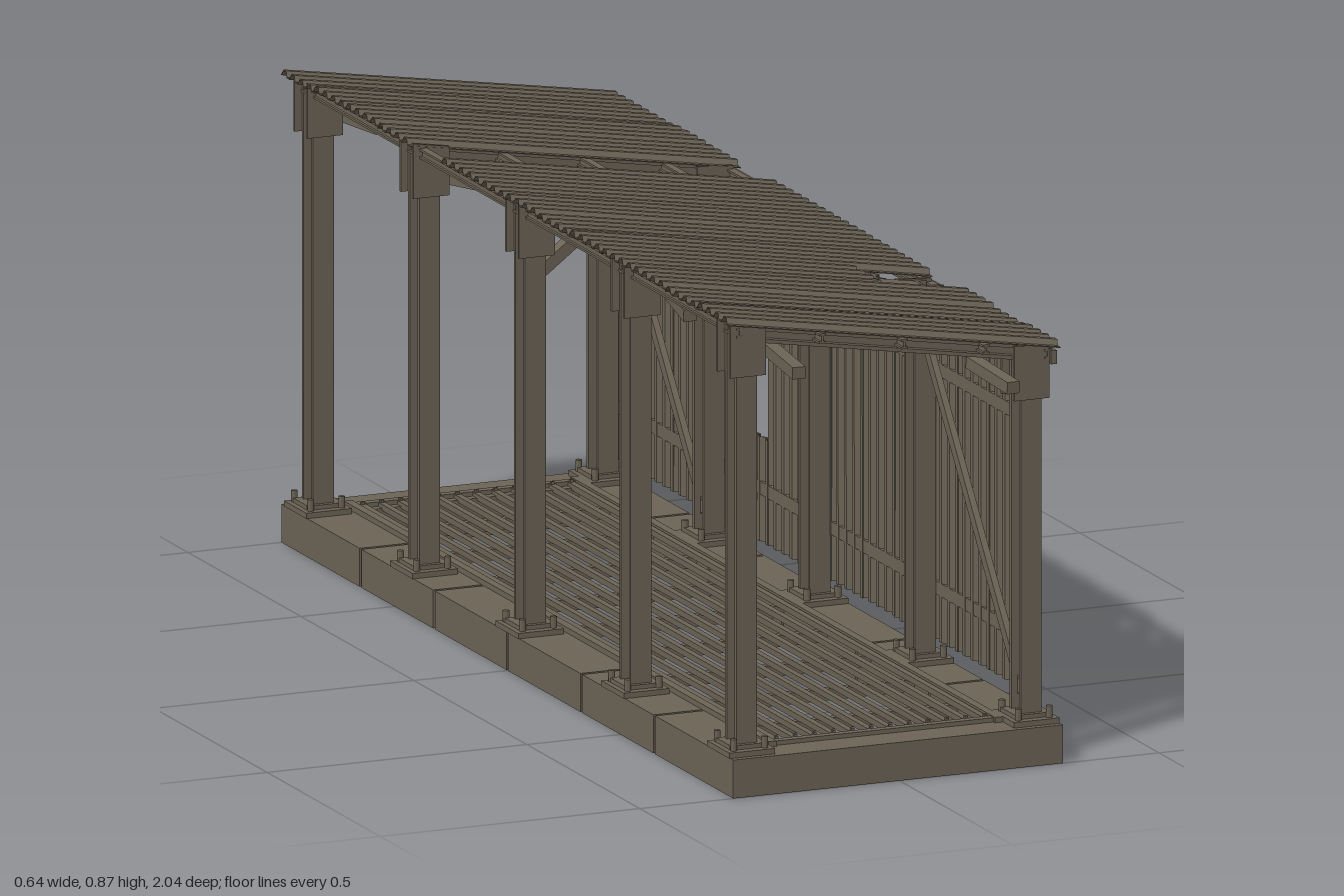
import * as THREE from 'three';

const steel = new THREE.MeshStandardMaterial({ color: 0x6b6355 });
steel.name = 'weathered taupe';
const SLOPE = 0.165, TILT = -Math.atan(SLOPE);
const roofY = x => 0.812 - SLOPE * x;
const bays = [-0.935, -0.465, 0.003, 0.47, 0.938];

// small seeded generator for slightly uneven sheets
let seed = 7;
const jitter = a => {
  seed = (seed * 16807) % 2147483647;
  return (seed / 2147483647 - 0.5) * 2 * a;
};

function add(parent, name, geometry, x = 0, y = 0, z = 0) {
  const m = new THREE.Mesh(geometry, steel);
  m.name = name;
  m.position.set(x, y, z);
  parent.add(m);
  return m;
}

// box given by its limits
function block(parent, name, x0, x1, y0, y1, z0, z1) {
  return add(parent, name, new THREE.BoxGeometry(x1 - x0, y1 - y0, z1 - z0),
    (x0 + x1) / 2, (y0 + y1) / 2, (z0 + z1) / 2);
}

// I-section along local z: flanges at +-y
function iBeam(w, h, t, length) {
  const a = w / 2, b = h / 2, c = t / 2;
  const s = new THREE.Shape([
    [-a, -b], [a, -b], [a, -b + t], [c, -b + t], [c, b - t], [a, b - t],
    [a, b], [-a, b], [-a, b - t], [-c, b - t], [-c, -b + t], [-a, -b + t],
  ].map(p => new THREE.Vector2(...p)));
  return new THREE.ExtrudeGeometry(s, { depth: length, bevelEnabled: false }).translate(0, 0, -length / 2);
}

// corrugated sheet: ribs along y, width along z, waves in x
function sheet(width, length, amp, waves = 4) {
  const p = width / waves, t = 0.002, line = [];
  for (let i = 0; i < waves; i++)
    for (const [f, h] of [[0, -1], [0.3, -1], [0.5, 1], [0.8, 1]])
      line.push([h * amp, (i + f) * p - width / 2]);
  line.push([-amp, width / 2]);
  const pts = [...line.map(([h, u]) => new THREE.Vector2(h + t / 2, u)),
    ...line.slice().reverse().map(([h, u]) => new THREE.Vector2(h - t / 2, u))];
  return new THREE.ExtrudeGeometry(new THREE.Shape(pts), { depth: length, bevelEnabled: false })
    .translate(0, 0, -length / 2).rotateX(-Math.PI / 2);
}

// square bar between two points
function strut(parent, name, a, b, w, d) {
  const p = new THREE.Vector3(...a), q = new THREE.Vector3(...b);
  const m = add(parent, name, new THREE.BoxGeometry(w, d, p.distanceTo(q)));
  m.position.copy(p).add(q).multiplyScalar(0.5);
  m.lookAt(q);
  return m;
}

function foundation(root) {
  const g = new THREE.Group();
  g.name = 'foundation';
  // long sides in six blocks with narrow joints
  const cuts = [-1, -0.65, -0.325, 0, 0.327, 0.65, 1];
  for (let i = 0; i < 6; i++) {
    const z0 = cuts[i] + (i ? 0.004 : 0.1), z1 = cuts[i + 1] - (i < 5 ? 0.004 : 0.1);
    block(g, 'sideBlock', -0.32, -0.215, 0, 0.07, z0, z1);
    block(g, 'sideBlock', 0.21, 0.315, 0, 0.07, z0, z1);
  }
  for (const s of [-1, 1])
    block(g, 'endBlock', -0.32, 0.315, 0, 0.07, s * 0.95 - 0.05, s * 0.95 + 0.05);
  root.add(g);
}

function floor(root) {
  const g = new THREE.Group();
  g.name = 'floorGrating';
  for (let i = 0; i < 12; i++) {
    const x = -0.2 + i * 0.0365;
    block(g, 'slat', x - 0.006, x + 0.006, 0.066, 0.077, -0.92, 0.92);
    for (const z of [-0.915, 0.915]) block(g, 'bolt', x - 0.003, x + 0.003, 0.077, 0.082, z - 0.003, z + 0.003);
  }
  for (let i = -4; i <= 4; i++)
    block(g, 'crossBar', -0.22, 0.215, 0.045, 0.066, i * 0.1925 - 0.007, i * 0.1925 + 0.007);
  for (const s of [-1, 1]) {
    block(g, 'sideRail', s * 0.218 - 0.008, s * 0.218 + 0.008, 0.066, 0.08, -0.94, 0.94);
    block(g, 'endRail', -0.215, 0.215, 0.066, 0.078, s * 0.925 - 0.008, s * 0.925 + 0.008);
  }
  root.add(g);
}

function frame(root, z) {
  const g = new THREE.Group();
  g.name = 'portalFrame';
  g.position.z = z;
  for (const [x, top, gx0, gx1, gy0, gy1] of [
    [-0.278, 0.845, -0.312, -0.243, 0.757, 0.861],
    [0.27, 0.755, 0.235, 0.303, 0.66, 0.76]]) {
    const h = top - 0.08;
    add(g, 'post', iBeam(0.04, 0.05, 0.008, h).rotateX(Math.PI / 2).rotateX(Math.PI / 2)
      .rotateX(Math.PI / 2), x, 0.08 + h / 2, 0);
    block(g, 'basePlate', x - 0.044, x + 0.044, 0.07, 0.08, -0.05, 0.05);
    block(g, 'baseCap', x - 0.034, x + 0.034, 0.08, 0.088, -0.034, 0.034);
    for (const sx of [-1, 1]) for (const sz of [-1, 1])
      add(g, 'anchorBolt', new THREE.CylinderGeometry(0.006, 0.006, 0.022, 6), x + sx * 0.03, 0.09, sz * 0.036);
    // paired gusset plates with a sloping top edge
    const shape = new THREE.Shape([[gx0, gy0], [gx1, gy0], [gx1, Math.min(gy1, roofY(gx1) - 0.006)],
      [gx0, Math.min(gy1, roofY(gx0) - 0.006)]].map(p => new THREE.Vector2(...p)));
    for (const s of [-1, 1])
      add(g, 'gussetPlate', new THREE.ExtrudeGeometry(shape, { depth: 0.006, bevelEnabled: false }), 0, 0, s * 0.028 - 0.003);
  }
  const rafter = add(g, 'rafter', iBeam(0.034, 0.028, 0.007, 0.54).rotateY(Math.PI / 2), 0, roofY(0) - 0.026, 0);
  rafter.rotation.z = TILT;
  strut(g, 'kneeBrace', [-0.262, 0.724, 0], [-0.13, 0.82, 0], 0.024, 0.022);
  strut(g, 'kneeBrace', [0.258, 0.641, 0], [0.155, 0.768, 0], 0.024, 0.022);
  root.add(g);
}

function roof(root) {
  const g = new THREE.Group();
  g.name = 'roof';
  for (const x of [-0.293, -0.135, 0.023, 0.18, 0.3])
    add(g, 'purlin', iBeam(0.014, 0.018, 0.004, 1.94), x, roofY(x) - 0.022, 0);
  block(g, 'eaveBeam', 0.303, 0.314, 0.722, 0.747, -0.975, 0.975);
  // fourteen sheets: one lost completely, one broken short at the low eave
  const W = 0.1415, FULL = 0.646;
  for (let i = 0; i < 14; i++) {
    if (i === 4) continue;
    const length = i === 10 ? 0.49 : FULL;
    const x = -0.319 + length / 2 * Math.cos(TILT);
    const m = add(g, 'roofSheet', sheet(W + 0.003, length, 0.005).rotateZ(Math.PI / 2),
      x, roofY(x) - 0.004 + jitter(0.0025), -1 + W * (i + 0.5));
    m.rotation.z = TILT + jitter(0.004);
  }
  root.add(g);
}

function wall(root) {
  const g = new THREE.Group();
  g.name = 'sideWall';
  const W = 0.14;
  for (let i = 0; i < 13; i++) {
    const y0 = 0.108 + jitter(0.002), y1 = i === 8 ? 0.298 : i === 3 ? 0.69 : 0.71;
    const m = add(g, 'wallSheet', sheet(W + 0.002, y1 - y0, 0.004),
      0.295 + jitter(0.001), (y0 + y1) / 2, 0.87 - W * (i + 0.5));
    m.rotation.x = jitter(0.003);
  }
  // horizontal rails and their fixings
  for (const y of [0.205, 0.605]) {
    block(g, 'wallRail', 0.29, 0.298, y - 0.012, y + 0.012, -0.95, 0.87);
    for (let i = 0; i < 26; i++) {
      if (i === 16 || i === 17) continue;
      const z = 0.835 - i * 0.07;
      block(g, 'fixing', 0.297, 0.303, y - 0.005, y + 0.005, z - 0.005, z + 0.005);
    }
  }
  // diagonal bracing in both end bays
  strut(g, 'diagonalBrace', [0.268, 0.12, 0.93], [0.268, 0.69, 0.48], 0.012, 0.02);
  strut(g, 'diagonalBrace', [0.268, 0.12, -0.475], [0.268, 0.69, -0.925], 0.012, 0.02);
  root.add(g);
}

export function createModel() {
  const root = new THREE.Group();
  root.name = 'openShed';
  foundation(root);
  floor(root);
  bays.forEach(z => frame(root, z));
  roof(root);
  wall(root);
  return root;
}
